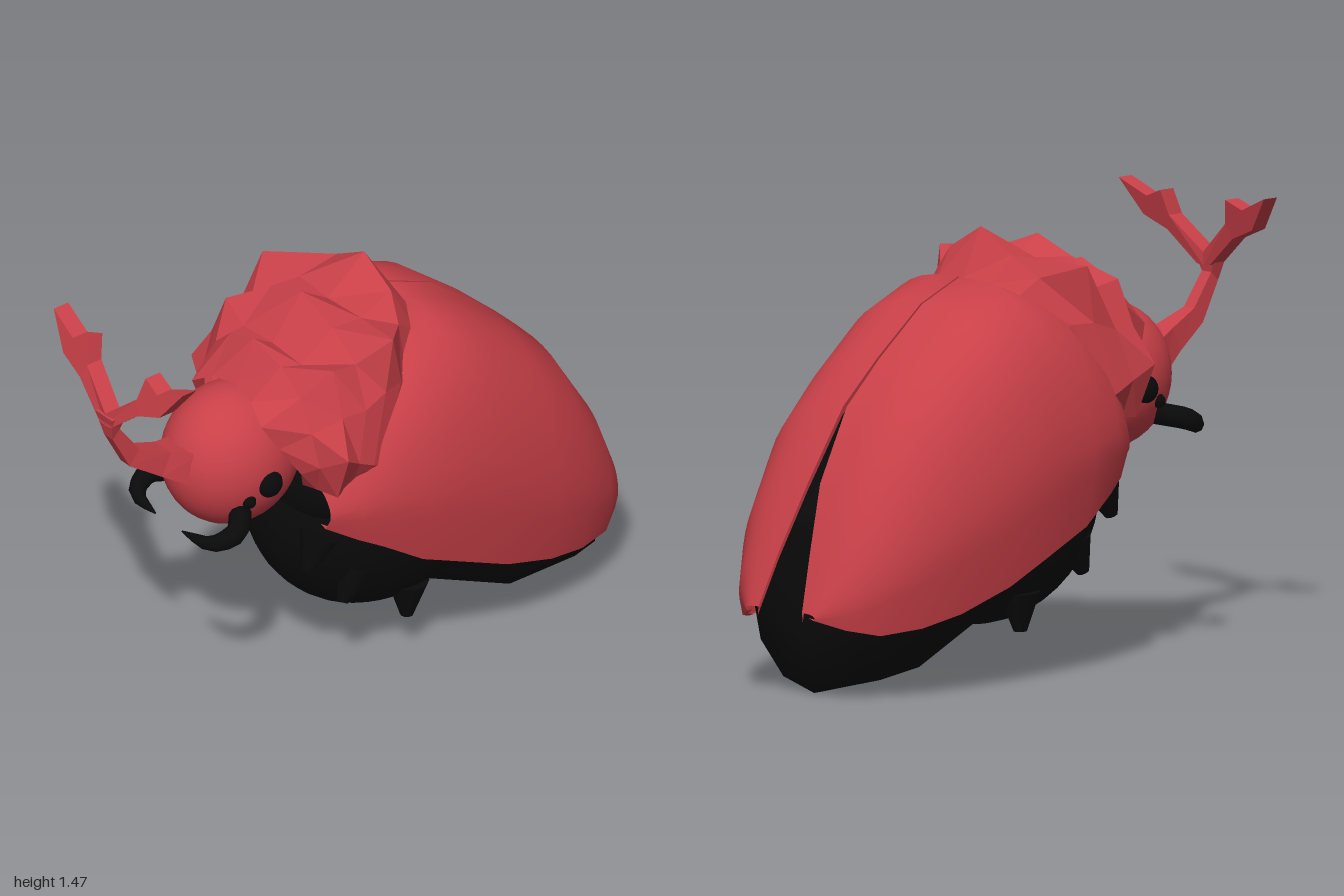
import * as THREE from 'three';

const red = new THREE.MeshStandardMaterial({ color: 0xc94048, side: THREE.DoubleSide });
red.name = 'shellRed';
const black = new THREE.MeshStandardMaterial({ color: 0x0a0a0a, side: THREE.DoubleSide });
black.name = 'bodyBlack';

// Skin rows of points; options close each row into a ring, cap the ends, or facet the result
function skin(rows, { closed = false, caps = false, flat = false } = {}) {
  const n = rows[0].length, index = [];
  for (let r = 0; r < rows.length - 1; r++) {
    for (let c = 0; c < (closed ? n : n - 1); c++) {
      const a = r * n + c, b = r * n + (c + 1) % n;
      index.push(a, b, a + n, b, b + n, a + n);
    }
  }
  if (caps) {
    const e = (rows.length - 1) * n;
    for (let c = 1; c < n - 1; c++) index.push(0, c + 1, c, e, e + c, e + c + 1);
  }
  let g = new THREE.BufferGeometry();
  g.setAttribute('position', new THREE.Float32BufferAttribute(rows.flat(2), 3));
  g.setIndex(index);
  if (flat) g = g.toNonIndexed();
  g.computeVertexNormals();
  return g;
}

function part(parent, name, geometry, material) {
  const m = new THREE.Mesh(geometry, material);
  m.name = name;
  parent.add(m);
  return m;
}

function ellipsoid(parent, name, material, pos, radii, seg = 24) {
  const g = new THREE.SphereGeometry(1, seg, Math.round(seg * 0.7));
  g.scale(...radii);
  part(parent, name, g, material).position.set(...pos);
}

// Wing case: squarish arches tucked in at the hem, opening towards the tail
function wingCaseRows() {
  // z, inner x, outer x, top y, bottom y
  const sections = [
    [0.3, 0.004, 0.31, 0.85, 0.67], [0.22, 0.004, 0.385, 1.0, 0.63], [0.14, 0.004, 0.425, 1.12, 0.59],
    [0, 0.004, 0.458, 1.24, 0.5], [-0.18, 0.004, 0.465, 1.295, 0.42], [-0.35, 0.004, 0.46, 1.225, 0.34],
    [-0.55, 0.005, 0.435, 1.065, 0.27], [-0.7, 0.008, 0.4, 0.925, 0.235], [-0.84, 0.027, 0.34, 0.69, 0.22],
    [-0.93, 0.07, 0.26, 0.47, 0.24], [-0.995, 0.1, 0.16, 0.29, 0.27]];
  return sections.map(([z, xi, xo, yt, yb]) => {
    const row = [];
    for (let i = 0; i <= 14; i++) {
      const t = (i / 14) * Math.PI / 2, p = 2 / 3;
      const y = yb + (yt - yb) * Math.max(0, Math.cos(t)) ** p;
      const low = 1 - Math.min(1, (y - yb) / (0.45 * (yt - yb)));
      row.push([xi + (xo - xi) * Math.sin(t) ** p * (1 - 0.11 * low ** 2), y, z]);
    }
    return row;
  });
}

// Abdomen: rings with a flat tail end
function abdomen() {
  // z, half width, top y, bottom y
  const sections = [[0.2, 0.28, 0.95, 0.45], [-0.2, 0.36, 1.08, 0.17], [-0.54, 0.36, 0.94, 0.01],
    [-0.84, 0.285, 0.6, 0.0], [-0.87, 0.24, 0.54, 0.2]];
  return skin(sections.map(([z, rx, top, bot]) => {
    const row = [];
    for (let i = 0; i < 12; i++) {
      const a = i / 12 * Math.PI * 2;
      row.push([rx * Math.sin(a), (top + bot) / 2 - (top - bot) / 2 * Math.cos(a), z]);
    }
    return row;
  }), { closed: true, caps: true });
}

// Neck shield: faceted ridges and valleys, mirrored about the centre line
function neckShield() {
  const half = [
    [[0, 1.29, -0.16], [0.12, 1.28, -0.16], [0.2, 1.23, -0.13], [0.29, 1.1, -0.03], [0.35, 0.9, 0.1]],
    [[0, 1.45, -0.08], [0.14, 1.37, -0.08], [0.23, 1.3, -0.04], [0.32, 1.15, 0.02], [0.37, 0.9, 0.14]],
    [[0, 1.33, 0.07], [0.16, 1.33, 0.06], [0.34, 1.34, 0.07], [0.34, 1.15, 0.1], [0.38, 0.92, 0.18]],
    [[0, 1.4, 0.18], [0.16, 1.34, 0.18], [0.27, 1.25, 0.17], [0.35, 1.12, 0.19], [0.38, 0.95, 0.24]],
    [[0, 1.25, 0.3], [0.15, 1.24, 0.3], [0.28, 1.27, 0.27], [0.34, 1.12, 0.28], [0.41, 1.0, 0.31]],
    [[0, 1.3, 0.38], [0.13, 1.25, 0.37], [0.22, 1.17, 0.36], [0.28, 1.06, 0.36], [0.31, 0.94, 0.35]],
    [[0, 1.15, 0.45], [0.1, 1.14, 0.47], [0.18, 1.09, 0.49], [0.21, 1.0, 0.44], [0.25, 0.9, 0.38]]];
  return skin(half.map((side) => {
    const [x, , z] = side[4];
    const full = [...side, [x * 0.82, 0.82, z * 0.6 + 0.11]];
    return [...full.slice(1).reverse().map(([a, b, c]) => [-a, b, c]), ...full];
  }), { flat: true });
}

// Horn stem: square sections following the bend
function hornStem() {
  // outer z, outer y, inner z, inner y, half width
  const s = [[0.69, 0.89, 0.66, 1.0, 0.075], [0.79, 0.95, 0.755, 1.03, 0.042], [0.91, 1.03, 0.87, 1.08, 0.024],
    [0.98, 1.16, 0.95, 1.19, 0.022], [1.0, 1.25, 0.94, 1.25, 0.045]];
  return skin(s.map(([oz, oy, iz, iy, w]) => [[w, oy, oz], [w, iy, iz], [-w, iy, iz], [-w, oy, oz]]),
    { closed: true, caps: true, flat: true });
}

// Horn fork: one branched prong, leaning back as it rises
function hornProng() {
  const outline = [[0, 1.21], [0.03, 1.215], [0.15, 1.315], [0.25, 1.355], [0.335, 1.47],
    [0.22, 1.42], [0.15, 1.447], [0.13, 1.365], [0, 1.255]];
  const shape = new THREE.Shape(outline.map(([x, y]) => new THREE.Vector2(x, y)));
  const g = new THREE.ExtrudeGeometry(shape, { depth: 0.06, bevelEnabled: false });
  const p = g.attributes.position;
  for (let i = 0; i < p.count; i++) p.setZ(i, p.getZ(i) + 0.935 - Math.max(0, p.getY(i) - 1.25) * 0.25);
  g.computeVertexNormals();
  return g;
}

// Jaw: a tapering hook
function jaw() {
  const curve = new THREE.CatmullRomCurve3([[0.16, 0.785, 0.56], [0.23, 0.765, 0.635], [0.195, 0.735, 0.705],
    [0.07, 0.73, 0.73]].map((v) => new THREE.Vector3(...v)));
  const rows = [];
  for (let i = 0; i <= 8; i++) {
    const c = curve.getPoint(i / 8), t = curve.getTangent(i / 8);
    const u = new THREE.Vector3(0, 1, 0).cross(t).normalize(), v = t.clone().cross(u);
    const r = 0.034 * (1 - (i / 8) ** 3) + 0.003, row = [];
    for (let k = 0; k < 8; k++) {
      const a = k / 8 * Math.PI * 2;
      row.push(c.clone().addScaledVector(u, r * Math.cos(a)).addScaledVector(v, r * Math.sin(a)).toArray());
    }
    rows.push(row);
  }
  return skin(rows, { closed: true, caps: true });
}

export function createModel() {
  const model = new THREE.Group();
  model.name = 'beetle';

  // Body and head
  part(model, 'abdomen', abdomen(), black);
  ellipsoid(model, 'chest', black, [0, 0.6, -0.1], [0.35, 0.45, 0.45], 32);
  ellipsoid(model, 'collar', black, [0, 0.76, 0.18], [0.29, 0.2, 0.165]);
  ellipsoid(model, 'head', red, [0, 0.905, 0.475], [0.21, 0.245, 0.24], 32);
  part(model, 'neckShield', neckShield(), red);
  part(model, 'hornStem', hornStem(), red);

  // Wing case skin, with a turned-in rim along the seam and the hem
  const rows = wingCaseRows();
  const shell = skin(rows);
  const seamRim = skin(rows.map((r) => [r[0], [r[0][0] + 0.004, r[0][1] - 0.03, r[0][2]]]));
  const hemRim = skin(rows.map((r) => [r[14], [r[14][0] - 0.025, r[14][1] + 0.008, r[14][2]]]));
  const prong = hornProng(), hook = jaw();

  // Mirrored parts
  for (const s of [1, -1]) {
    const side = new THREE.Group();
    side.name = s > 0 ? 'leftSide' : 'rightSide';
    side.scale.x = s;
    model.add(side);
    part(side, 'wingCase', shell, red);
    part(side, 'wingCaseSeamRim', seamRim, red);
    part(side, 'wingCaseHemRim', hemRim, red);
    part(side, 'hornProng', prong, red);
    part(side, 'jaw', hook, black);
    ellipsoid(side, 'eye', black, [0.205, 0.877, 0.472], [0.032, 0.046, 0.046], 14);
    ellipsoid(side, 'smallEye', black, [0.187, 0.83, 0.545], [0.024, 0.024, 0.024], 10);
    // Hip stubs
    for (const [x, y, z, tilt] of [[0.2, 0.54, 0.29, 2.7], [0.21, 0.37, 0.15, 2.7], [0.2, 0.21, -0.1, 3.1]]) {
      const hip = part(side, 'hipStub', new THREE.CylinderGeometry(0.022, 0.07, 0.13, 10), black);
      hip.position.set(x, y, z);
      hip.rotation.x = tilt;
    }
  }
  return model;
}
